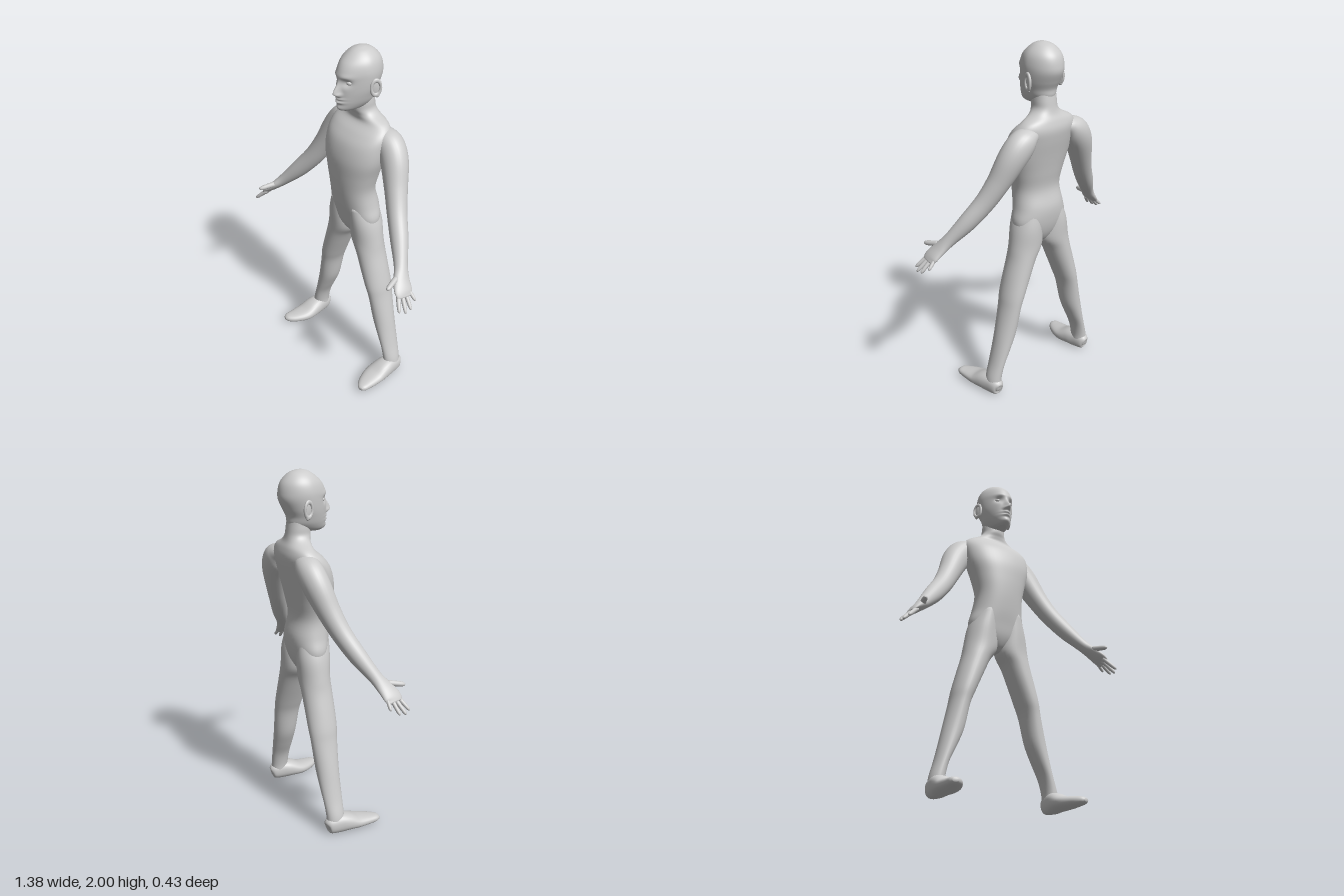
import * as THREE from 'three';

const material = new THREE.MeshStandardMaterial({ color: 0xcccccc, roughness: 0.8 });
const Y = new THREE.Vector3(0, 1, 0), Z = new THREE.Vector3(0, 0, 1);

// Smooth closed skin through sections [x, y, z, radiusU, radiusV].
// ref sets the V direction; level keeps every section horizontal.
function loft(name, sections, { ref = Z, level = false, sides = 28, steps = 5, power = 2, deform } = {}) {
  const path = new THREE.CatmullRomCurve3(sections.map(s => new THREE.Vector3(s[0], s[1], s[2])), false, 'catmullrom');
  const size = new THREE.CatmullRomCurve3(sections.map(s => new THREE.Vector3(s[3], s[4], 0)), false, 'catmullrom');
  const rows = (sections.length - 1) * steps;
  const pos = [], index = [];
  const push = p => { if (deform) deform(p); pos.push(p.x, p.y, p.z); };
  const bend = c => Math.sign(c) * Math.abs(c) ** (2 / power);
  for (let i = 0; i <= rows; i++) {
    const c = path.getPoint(i / rows), r = size.getPoint(i / rows), t = path.getTangent(i / rows);
    if (level) t.set(0, Math.sign(t.y), 0);
    const v = ref.clone().addScaledVector(t, -ref.dot(t)).normalize();
    const u = v.clone().cross(t);
    for (let j = 0; j < sides; j++) {
      const a = j / sides * Math.PI * 2;
      push(c.clone().addScaledVector(u, bend(Math.cos(a)) * Math.max(r.x, 0.001))
        .addScaledVector(v, bend(Math.sin(a)) * Math.max(r.y, 0.001)));
    }
    if (i === rows) break;
    for (let j = 0; j < sides; j++) {
      const a = i * sides + j, b = i * sides + (j + 1) % sides;
      index.push(a, b, b + sides, a, b + sides, a + sides);
    }
  }
  // end caps
  const start = (rows + 1) * sides, last = rows * sides;
  push(path.getPoint(0));
  push(path.getPoint(1));
  for (let j = 0; j < sides; j++) {
    const k = (j + 1) % sides;
    index.push(start, k, j, start + 1, last + j, last + k);
  }
  const geometry = new THREE.BufferGeometry();
  geometry.setAttribute('position', new THREE.Float32BufferAttribute(pos, 3));
  geometry.setIndex(index);
  geometry.computeVertexNormals();
  const mesh = new THREE.Mesh(geometry, material);
  mesh.name = name;
  return mesh;
}

// Centred section from its height, front z, back z and half width
const slab = ([y, front, back, w]) => [0, y, (front + back) / 2, w, (front - back) / 2];
const bump = (d, width) => Math.exp(-((d / width) ** 2));

// Narrow the face and model brow, eye sockets, nose, lips and chin
function shapeFace(p) {
  const front = THREE.MathUtils.smoothstep(p.z, -0.09, 0.04);
  p.x *= 1 - 0.16 * front;
  if (p.z < -0.04) return;
  const ax = Math.abs(p.x), y = p.y;
  const ridge = y > 1.782 ? bump(y - 1.782, 0.042) : bump(y - 1.782, 0.017);
  p.z += front * (
    0.036 * ridge * bump(p.x, 0.013 + 0.004 * bump(y - 1.775, 0.02))
    + 0.010 * bump(ax - 0.016, 0.009) * bump(y - 1.773, 0.011)
    - 0.018 * bump(ax - 0.04, 0.022) * bump(y - 1.84, 0.02)
    + 0.005 * bump(ax - 0.04, 0.035) * bump(y - 1.872, 0.014)
    + 0.012 * bump(p.x, 0.028) * (bump(y - 1.75, 0.008) + bump(y - 1.731, 0.008))
    - 0.004 * bump(p.x, 0.03) * bump(y - 1.741, 0.004)
    + 0.006 * bump(p.x, 0.025) * bump(y - 1.697, 0.014));
}

function ball(name, x, y, z, sx, sy, sz) {
  const mesh = new THREE.Mesh(new THREE.SphereGeometry(1, 20, 14), material);
  mesh.name = name;
  mesh.position.set(x, y, z);
  mesh.scale.set(sx, sy, sz);
  return mesh;
}

function makeEar(s) {
  const ear = new THREE.Group();
  ear.name = s > 0 ? 'leftEar' : 'rightEar';
  const rim = new THREE.Mesh(new THREE.TorusGeometry(0.026, 0.008, 10, 28), material);
  rim.name = 'earRim';
  rim.scale.set(1, 1.55, 1);
  ear.add(rim, ball('earBowl', 0, 0, -0.004, 0.025, 0.042, 0.007), ball('earLobe', 0.008 * s, -0.04, 0, 0.013, 0.014, 0.008));
  ear.position.set(0.112 * s, 1.805, -0.1);
  ear.rotation.set(0, s * (Math.PI / 2 - 0.3), 0);
  return ear;
}

export function createModel() {
  const model = new THREE.Group();
  model.name = 'humanFigure';

  model.add(loft('torso', [
    [0.868, -0.04, -0.09, 0.012], [0.9, -0.01, -0.12, 0.07], [0.95, 0.015, -0.145, 0.15], [1.02, 0.032, -0.162, 0.174],
    [1.1, 0.05, -0.166, 0.156], [1.2, 0.065, -0.145, 0.146], [1.3, 0.072, -0.16, 0.167],
    [1.4, 0.07, -0.18, 0.196], [1.49, 0.045, -0.2, 0.205], [1.55, 0.0, -0.208, 0.2],
    [1.595, -0.05, -0.198, 0.165], [1.63, -0.05, -0.182, 0.098], [1.66, -0.04, -0.174, 0.07],
    [1.7, -0.04, -0.168, 0.066], [1.75, -0.05, -0.16, 0.062],
  ].map(slab), { level: true, sides: 48, power: 2.2 }));

  const head = new THREE.Group();
  head.name = 'head';
  head.add(loft('skull', [
    [1.674, 0.03, -0.06, 0.03], [1.688, 0.052, -0.13, 0.054], [1.72, 0.056, -0.163, 0.076],
    [1.76, 0.055, -0.17, 0.09], [1.8, 0.055, -0.19, 0.1], [1.85, 0.055, -0.212, 0.106],
    [1.89, 0.05, -0.213, 0.106], [1.93, 0.03, -0.203, 0.097], [1.96, 0.0, -0.182, 0.079],
    [1.985, -0.035, -0.152, 0.05], [1.997, -0.065, -0.118, 0.022], [2.0, -0.085, -0.1, 0.006],
  ].map(slab), { level: true, sides: 112, steps: 9, deform: shapeFace }));
  model.add(head);

  for (const s of [1, -1]) {
    const side = s > 0 ? 'left' : 'right';
    const mirror = list => list.map(([x, ...rest]) => [x * s, ...rest]);

    head.add(ball(side + 'Eye', 0.04 * s, 1.84, 0.014, 0.018, 0.013, 0.017), makeEar(s));

    // Shoulder, arm and palm in one skin
    model.add(loft(side + 'Arm', mirror([
      [0.1, 1.545, -0.13, 0.03, 0.05], [0.155, 1.525, -0.135, 0.06, 0.068], [0.2, 1.49, -0.137, 0.079, 0.074],
      [0.25, 1.42, -0.122, 0.079, 0.073], [0.31, 1.3, -0.085, 0.064, 0.062],
      [0.37, 1.195, -0.045, 0.056, 0.054], [0.45, 1.09, 0.005, 0.05, 0.048],
      [0.53, 0.995, 0.06, 0.034, 0.038], [0.575, 0.945, 0.092, 0.025, 0.047],
      [0.615, 0.905, 0.113, 0.018, 0.054], [0.638, 0.88, 0.118, 0.009, 0.044],
    ]), { steps: 6 }));

    // Thumb and fingers: base, then tip
    [
      ['Thumb', [0.562, 0.962, 0.115], [0.594, 0.946, 0.208], 0.015],
      ['IndexFinger', [0.61, 0.9, 0.146], [0.672, 0.833, 0.187], 0.0115],
      ['MiddleFinger', [0.618, 0.896, 0.125], [0.688, 0.822, 0.155], 0.0115],
      ['RingFinger', [0.62, 0.896, 0.104], [0.687, 0.826, 0.118], 0.011],
      ['LittleFinger', [0.615, 0.903, 0.08], [0.668, 0.852, 0.073], 0.01],
    ].forEach(([name, base, tip, r]) => {
      const profile = [[0, 1.05], [0.45, 1], [0.75, 0.92], [0.93, 0.65], [1, 0.15]];
      model.add(loft(side + name, mirror(profile.map(([t, k]) =>
        [...base.map((b, i) => b + (tip[i] - b) * t), r * k, r * k])), { ref: Y, sides: 14, steps: 3 }));
    });

    model.add(loft(side + 'Leg', mirror([
      [0.078, 1.1, -0.055, 0.06, 0.09], [0.093, 0.99, -0.064, 0.086, 0.095], [0.103, 0.88, -0.067, 0.098, 0.09],
      [0.135, 0.8, -0.067, 0.081, 0.088], [0.172, 0.7, -0.067, 0.072, 0.087],
      [0.207, 0.6, -0.068, 0.063, 0.085], [0.23, 0.52, -0.07, 0.055, 0.078],
      [0.262, 0.38, -0.07, 0.057, 0.069], [0.295, 0.28, -0.069, 0.047, 0.063],
      [0.328, 0.19, -0.067, 0.037, 0.057], [0.35, 0.11, -0.065, 0.04, 0.053], [0.356, 0.05, -0.065, 0.043, 0.052],
    ]), { level: true, sides: 32 }));

    // Foot, flattened at the sole
    model.add(loft(side + 'Foot', mirror([
      [0.358, 0.045, -0.121, 0.012, 0.018], [0.357, 0.048, -0.108, 0.036, 0.045],
      [0.356, 0.052, -0.05, 0.05, 0.056], [0.355, 0.05, 0.0, 0.06, 0.052],
      [0.356, 0.036, 0.07, 0.065, 0.036], [0.37, 0.032, 0.14, 0.051, 0.027],
      [0.386, 0.032, 0.188, 0.032, 0.02], [0.392, 0.032, 0.207, 0.014, 0.009],
    ]), { ref: Y, power: 2.3, deform: p => { p.y = Math.max(p.y, 0.004 * Math.sin(p.z * 8) ** 2); } }));
  }
  return model;
}
